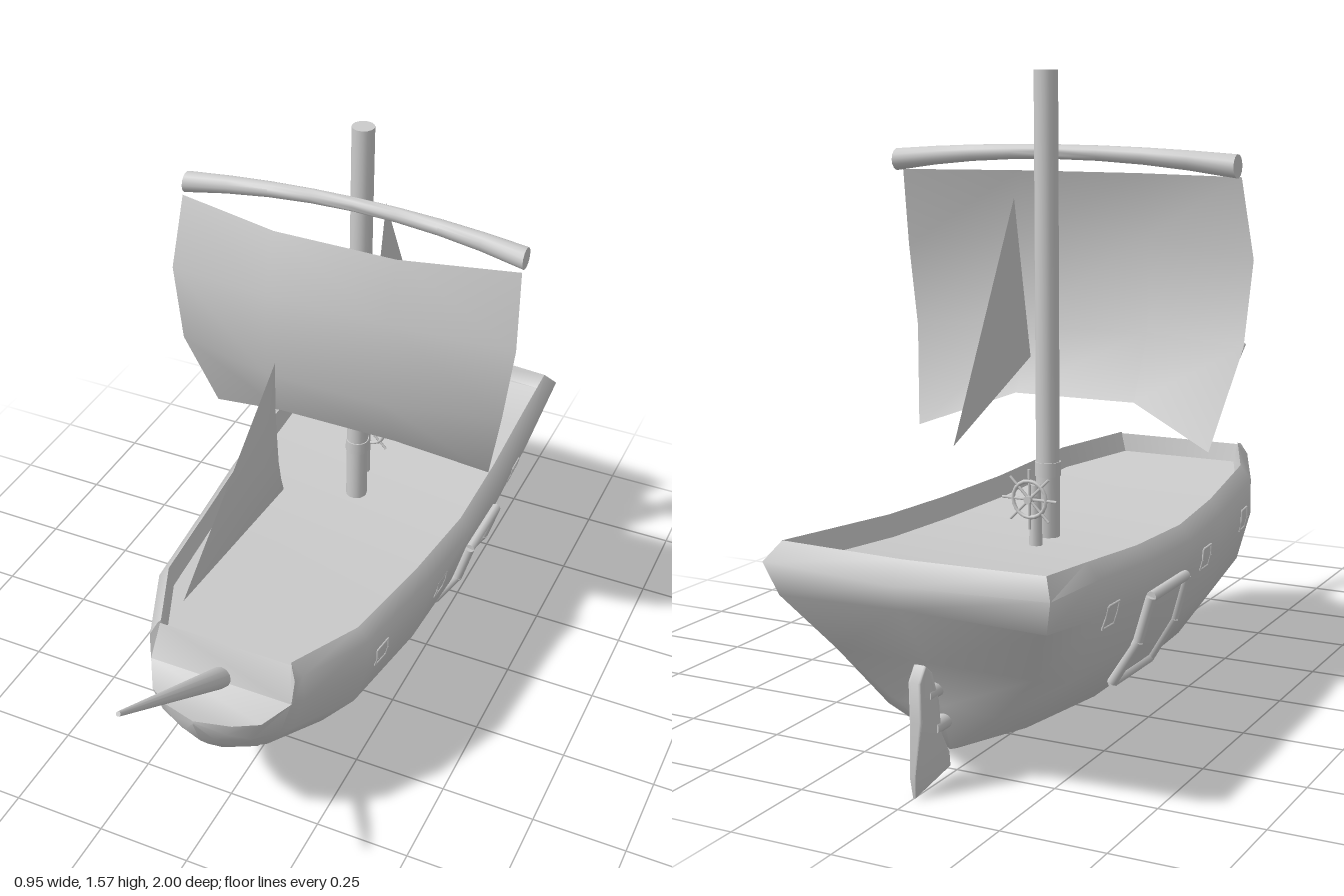
import * as THREE from 'three';
import { toCreasedNormals } from 'three/addons/utils/BufferGeometryUtils.js';

const grey = new THREE.MeshStandardMaterial({ color: 0xcccccc });
const thin = new THREE.MeshStandardMaterial({ color: 0xcccccc, side: THREE.DoubleSide });

// Hull stations: z, sheer y, rim x, then wale, bilge and lower points (x, y), keel y
const stations = [
  [-0.75, 0.527, 0.36, 0.345, 0.4, 0.29, 0.25, 0.18, 0.13, 0.052],
  [-0.5, 0.505, 0.362, 0.347, 0.385, 0.31, 0.26, 0.225, 0.13, 0.036],
  [-0.25, 0.496, 0.36, 0.343, 0.38, 0.31, 0.26, 0.235, 0.14, 0.04],
  [0, 0.503, 0.335, 0.333, 0.38, 0.3, 0.26, 0.22, 0.14, 0.046],
  [0.3, 0.528, 0.298, 0.298, 0.4, 0.26, 0.27, 0.17, 0.16, 0.068],
  [0.5, 0.545, 0.21, 0.213, 0.43, 0.18, 0.32, 0.11, 0.235, 0.18],
];

function stationPoints([z, sy, rx, wx, wy, bx, by, lx, ly, ky]) {
  return [[rx - 0.042, sy - 0.055, z], [rx - 0.03, sy, z], [rx, sy - 0.035, z],
    [wx, wy, z], [bx, by, z], [lx, ly, z], [0, ky, z]];
}

// Skin between rows of points
function loft(rows, closed = false) {
  const n = rows[0].length, idx = [];
  for (let i = 0; i < rows.length - 1; i++) {
    for (let j = 0; j < (closed ? n : n - 1); j++) {
      const k = (j + 1) % n;
      const a = i * n + j, b = i * n + k, c = b + n, d = a + n;
      idx.push(a, d, c, a, c, b);
    }
  }
  const g = new THREE.BufferGeometry();
  g.setAttribute('position', new THREE.Float32BufferAttribute(rows.flat(2), 3));
  g.setIndex(idx);
  g.computeVertexNormals();
  return g;
}

// Half width of the hull at a given length and height
function hullX(z, y) {
  let i = 0;
  while (i < stations.length - 2 && z > stations[i + 1][0]) i++;
  const A = stations[i], B = stations[i + 1], t = (z - A[0]) / (B[0] - A[0]);
  const p = stationPoints(A.map((v, k) => v + (B[k] - v) * t));
  for (let j = 2; j < 6; j++) {
    if (y >= p[j + 1][1]) {
      const s = (y - p[j + 1][1]) / (p[j][1] - p[j + 1][1]);
      return p[j + 1][0] + (p[j][0] - p[j + 1][0]) * s;
    }
  }
  return 0;
}

export function createModel() {
  const model = new THREE.Group();
  const add = (name, geo, mat = grey, parent = model) => {
    const m = new THREE.Mesh(geo, mat);
    m.name = name;
    parent.add(m);
    return m;
  };
  // Tapered round bar between two points
  const rod = (name, a, b, ra, rb = ra, sides = 12, parent = model) => {
    const p = new THREE.Vector3(...a), q = new THREE.Vector3(...b), d = q.clone().sub(p);
    const m = add(name, new THREE.CylinderGeometry(rb, ra, d.length(), sides), grey, parent);
    m.position.copy(p).add(q).multiplyScalar(0.5);
    m.quaternion.setFromUnitVectors(new THREE.Vector3(0, 1, 0), d.normalize());
    return m;
  };

  // Hull with raked transom, sunken deck, rim and low beak at the bow
  const beak = (z, wx, wy, bx, by, lx, ly, ky) =>
    [[wx, wy, z], [wx, wy, z], [wx, wy, z], [wx, wy, z], [bx, by, z], [lx, ly, z], [0, ky, z]];
  const halves = [
    [[0, 0.5, -0.945], [0, 0.545, -0.96], [0, 0.495, -1], [0, 0.44, -0.98], [0, 0.29, -0.87], [0, 0.17, -0.81], [0, 0.06, -0.78]],
    [[0.318, 0.5, -0.92], [0.33, 0.543, -0.935], [0.358, 0.5, -0.972], [0.335, 0.42, -0.945], [0.25, 0.28, -0.85], [0.13, 0.16, -0.795], [0, 0.06, -0.78]],
    ...stations.map(stationPoints),
    [[0.18, 0.54, 0.505], [0.185, 0.542, 0.51], [0.2, 0.51, 0.525], [0.2, 0.445, 0.525], [0.165, 0.33, 0.525], [0.1, 0.25, 0.525], [0, 0.2, 0.525]],
    beak(0.535, 0.195, 0.44, 0.165, 0.335, 0.1, 0.255, 0.207),
    beak(0.61, 0.15, 0.42, 0.125, 0.36, 0.07, 0.315, 0.29),
    beak(0.65, 0.09, 0.425, 0.075, 0.39, 0.04, 0.36, 0.34),
    beak(0.68, 0, 0.433, 0, 0.43, 0, 0.425, 0.42),
  ];
  const rings = halves.map(h => [...h, ...h.slice(0, 6).reverse().map(([x, y, z]) => [-x, y, z])]);
  add('hull', toCreasedNormals(loft(rings, true), 1.15));

  // Framed openings on both sides: z range, y range, bar radius, stand-off
  function sidePanel(name, z0, z1, y0, y1, r, off) {
    for (const s of [1, -1]) {
      const g = new THREE.Group();
      g.name = name;
      model.add(g);
      const ym = (y0 + y1) / 2;
      const at = (z, y, o) => [s * (hullX(z, y) + o), y, z];
      const loop = [[z0, y0], [z0, ym], [z0, y1], [z1, y1], [z1, ym], [z1, y0]].map(([z, y]) => at(z, y, off));
      loop.forEach((p, i) => rod('frameBar', p, loop[(i + 1) % 6], r, r, 8, g));
      add('panel', loft([z0, z1].map(z => [y1, ym, y0].map(y => at(z, y, off)))), thin, g);
    }
  }
  sidePanel('sideHatch', -0.475, -0.272, 0.162, 0.38, 0.013, 0.012);
  for (const [z, y] of [[0.23, 0.4], [-0.1, 0.38], [-0.655, 0.385]]) {
    sidePanel('gunPort', z - 0.027, z + 0.027, y - 0.027, y + 0.027, 0.003, 0.001);
  }

  // Mast with collar, and bowsprit
  rod('mast', [0, 0.42, -0.3], [0, 1.571, -0.3], 0.029, 0.029, 16);
  rod('mastCollar', [0, 0.595, -0.3], [0, 0.63, -0.3], 0.032, 0.032, 16);
  rod('bowsprit', [0, 0.41, 0.47], [0, 0.747, 0.998], 0.031, 0.006, 12);

  // Yard, drooping and sweeping forward towards thicker ends
  const yard = new THREE.CylinderGeometry(1, 1, 0.92, 14, 8).rotateZ(Math.PI / 2);
  const yp = yard.attributes.position;
  for (let i = 0; i < yp.count; i++) {
    const t = (yp.getX(i) / 0.46) ** 2, r = 0.018 + 0.01 * t;
    yp.setY(i, yp.getY(i) * r + 1.378 - 0.027 * t);
    yp.setZ(i, yp.getZ(i) * r - 0.255 + 0.025 * t);
  }
  add('yard', toCreasedNormals(yard, 0.9));

  // Billowing square sail: outer x, y, z, then inner y, z
  const sailRows = [
    [0.46, 1.325, -0.205, 1.325, -0.135],
    [0.475, 1.13, -0.16, 1.17, -0.08],
    [0.452, 0.92, -0.16, 0.93, -0.08],
    [0.4, 0.678, -0.245, 0.765, -0.16],
  ].map(([x, y, z, yi, zi]) => [[-x, y, z], [-0.165, yi, zi], [0.165, yi, zi], [x, y, z]]);
  add('squareSail', loft(sailRows), thin);

  // Fore sail with a hollow trailing edge and a slight belly
  const leech = [[1.183, 0.205], [1.04, 0.225], [0.91, 0.222], [0.84, 0.2], [0.78, 0.165]];
  const foreRows = leech.map(([y, z], k) => {
    const t = k / 4, ly = 1.183 - 0.355 * t, lz = 0.205 + 0.485 * t;
    return [0, 0.5, 1].map(s =>
      [0.015 * Math.sin(Math.PI * t) * (1 - s * s), y + (ly - y) * s, z + (lz - z) * s]);
  });
  add('foreSail', loft(foreRows), thin);

  // Flat triangular after sail
  add('afterSail', loft([[[0, 1.28, -0.46], [0, 1.28, -0.46]], [[0, 0.9, -0.385], [0, 0.75, -0.745]]]), thin);

  // Steering wheel on its post
  const wheel = new THREE.Group();
  wheel.name = 'steeringWheel';
  wheel.position.set(-0.02, 0.565, -0.433);
  model.add(wheel);
  add('wheelRim', new THREE.TorusGeometry(0.044, 0.005, 6, 20), grey, wheel);
  for (let i = 0; i < 4; i++) {
    const a = i * Math.PI / 4, c = 0.073 * Math.cos(a), s = 0.073 * Math.sin(a);
    rod('spoke', [-c, -s, 0], [c, s, 0], 0.0035, 0.0035, 6, wheel);
  }
  rod('hub', [0, 0, -0.012], [0, 0, 0.035], 0.01, 0.01, 10, wheel);
  rod('wheelPost', [-0.02, 0.42, -0.402], [-0.02, 0.595, -0.402], 0.017, 0.013, 10);

  // Rudder blade, thinner towards its foot, with two hinge brackets
  const outline = [[0.79, 0.027], [0.93, 0.004], [0.936, 0.05], [0.92, 0.17], [0.922, 0.26],
    [0.9, 0.29], [0.876, 0.27], [0.85, 0.2], [0.838, 0.12], [0.797, 0.06]];
  const blade = new THREE.ExtrudeGeometry(new THREE.Shape(outline.map(p => new THREE.Vector2(...p))),
    { depth: 0.02, bevelEnabled: true, bevelSize: 0.003, bevelThickness: 0.006, bevelSegments: 2 });
  blade.translate(0, 0, -0.01).rotateY(Math.PI / 2);
  const bp = blade.attributes.position;
  for (let i = 0; i < bp.count; i++) bp.setX(i, bp.getX(i) * Math.min(1, 0.25 + 5 * bp.getY(i)));
  add('rudder', toCreasedNormals(blade, 0.7));
  for (const [y, z] of [[0.135, -0.82], [0.22, -0.85]]) {
    rod('rudderHinge', [0, y, z - 0.035], [0, y, z + 0.04], 0.018, 0.018, 10);
  }
  return model;
}
